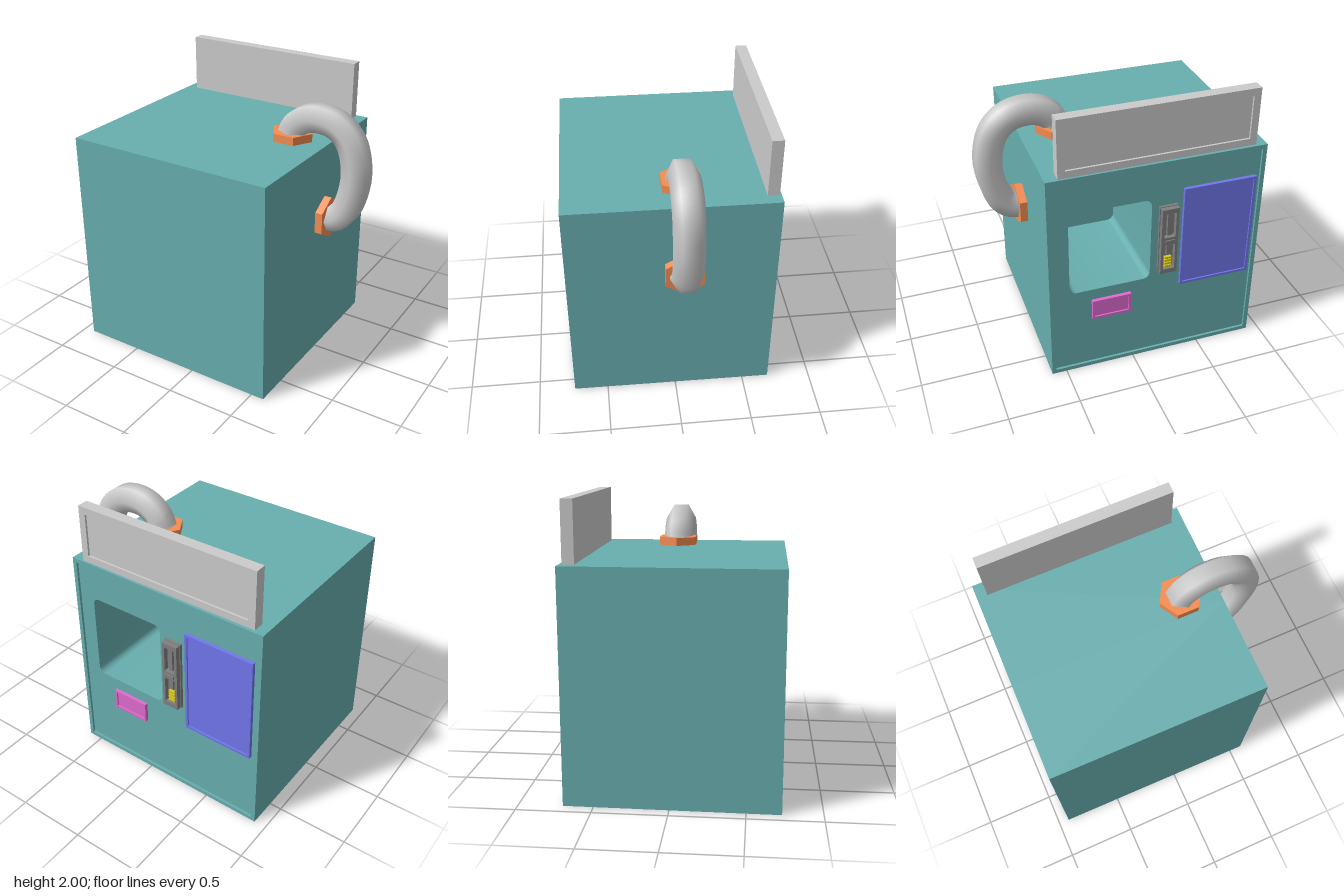
import * as THREE from 'three';
import { toCreasedNormals } from 'three/addons/utils/BufferGeometryUtils.js';

const mat = (color, flatShading = false) => new THREE.MeshStandardMaterial({ color, flatShading });
const teal = mat(0x68aeaf), grey = mat(0xcccccc), orange = mat(0xf58d52, true);
const blue = mat(0x7177ec), pink = mat(0xe06bd0), steel = mat(0x808080), yellow = mat(0xd8c820);

function add(parent, name, geometry, material, x = 0, y = 0, z = 0) {
  const mesh = new THREE.Mesh(geometry, material);
  mesh.name = name;
  mesh.position.set(x, y, z);
  parent.add(mesh);
  return mesh;
}

// Box given by its limits on each axis
function box(parent, name, material, [x0, x1], [y0, y1], [z0, z1]) {
  return add(parent, name, new THREE.BoxGeometry(x1 - x0, y1 - y0, z1 - z0), material,
    (x0 + x1) / 2, (y0 + y1) / 2, (z0 + z1) / 2);
}

// Rectangle outline, with optional rounded corners
function rect(path, [x0, x1], [y0, y1], r = 0) {
  path.moveTo(x0 + r, y0).lineTo(x1 - r, y0);
  if (r) path.absarc(x1 - r, y0 + r, r, -Math.PI / 2, 0);
  path.lineTo(x1, y1 - r);
  if (r) path.absarc(x1 - r, y1 - r, r, 0, Math.PI / 2);
  path.lineTo(x0 + r, y1);
  if (r) path.absarc(x0 + r, y1 - r, r, Math.PI / 2, Math.PI);
  path.lineTo(x0, y0 + r);
  if (r) path.absarc(x0 + r, y0 + r, r, Math.PI, Math.PI * 1.5);
  return path;
}

// Slab between z0 and z1 with rectangular holes: [xs, ys, radius]
function holedSlab(parent, name, material, xs, ys, [z0, z1], holes) {
  const shape = rect(new THREE.Shape(), xs, ys);
  for (const h of holes) shape.holes.push(rect(new THREE.Path(), ...h));
  const geo = new THREE.ExtrudeGeometry(shape, { depth: z1 - z0, bevelEnabled: false, curveSegments: 8 });
  return add(parent, name, toCreasedNormals(geo, 0.7), material, 0, 0, z0);
}

// Raised border of constant width
function frame(parent, name, material, [x0, x1], [y0, y1], zs, b) {
  return holedSlab(parent, name, material, [x0, x1], [y0, y1], zs,
    [[[x0 + b, x1 - b], [y0 + b, y1 - b]]]);
}

export function createModel() {
  const model = new THREE.Group();
  model.name = 'vendingBooth';

  // Cabinet, turned very slightly
  const cabinet = new THREE.Group();
  cabinet.name = 'cabinet';
  cabinet.rotation.y = -0.007;
  model.add(cabinet);
  const X = [-0.918, 0.6], Y = [0, 1.59];
  holedSlab(cabinet, 'cabinetWithWindow', teal, X, Y, [-0.68, 0.08],
    [[[-0.12, 0.455], [0.67, 1.31], 0.05]]);
  box(cabinet, 'cabinetFront', teal, X, Y, [0.08, 0.738]);
  frame(cabinet, 'cabinetRim', teal, X, Y, [-0.697, -0.68], 0.03);

  // Coloured panels with thin borders
  for (const [name, m, xs, ys] of [
    ['displayPanel', blue, [-0.86, -0.34], [0.575, 1.36]],
    ['noticePanel', pink, [0.02, 0.3], [0.43, 0.585]],
  ]) {
    box(cabinet, name, m, xs, ys, [-0.695, -0.675]);
    frame(cabinet, name + 'Border', m, xs, ys, [-0.706, -0.695], 0.018);
  }

  // Coin unit: housing with two slots, bars, a latch and a coin stack
  const unit = new THREE.Group();
  unit.name = 'coinUnit';
  cabinet.add(unit);
  const slots = [[1.02, 1.21], [0.76, 0.96]];
  box(unit, 'coinUnitBack', steel, [-0.3, -0.17], [0.72, 1.25], [-0.7, -0.675]);
  holedSlab(unit, 'coinUnitHousing', steel, [-0.295, -0.175], [0.725, 1.245], [-0.735, -0.7],
    slots.map(s => [[-0.275, -0.195], s]));
  box(unit, 'upperSlotBar', steel, [-0.25, -0.22], [1.03, 1.2], [-0.722, -0.7]);
  box(unit, 'lowerSlotBar', steel, [-0.25, -0.22], [0.87, 0.95], [-0.722, -0.7]);
  box(unit, 'latch', steel, [-0.27, -0.2], [0.98, 1.0], [-0.743, -0.735]);
  for (let i = 0; i < 4; i++) {
    box(unit, 'coin', yellow, [-0.26, -0.21], [0.765 + i * 0.023, 0.781 + i * 0.023], [-0.722, -0.7]);
  }

  // Header sign with recessed back face
  const SX = [-0.84, 0.52], SY = [1.59, 2];
  box(model, 'sign', grey, SX, SY, [-0.665, -0.6]);
  frame(model, 'signBorder', grey, SX, SY, [-0.68, -0.665], 0.05);

  // Six-sided pipe from the top to the left side
  const path = new THREE.CatmullRomCurve3([
    [0.335, 1.61], [0.37, 1.695], [0.45, 1.755], [0.55, 1.775], [0.68, 1.745], [0.78, 1.645],
    [0.828, 1.45], [0.805, 1.26], [0.75, 1.13], [0.685, 1.078], [0.62, 1.068],
  ].map(([x, y]) => new THREE.Vector3(x, y, -0.056)));
  add(model, 'pipe', new THREE.TubeGeometry(path, 40, 0.105, 6), grey);

  // Hexagonal pipe collars
  const collar = new THREE.CylinderGeometry(0.152, 0.152, 0.065, 6).rotateY(Math.PI / 6);
  add(model, 'topCollar', collar, orange, 0.336, 1.6155, -0.057);
  add(model, 'sideCollar', collar, orange, 0.6205, 1.064, -0.057).rotation.z = -Math.PI / 2;

  return model;
}
